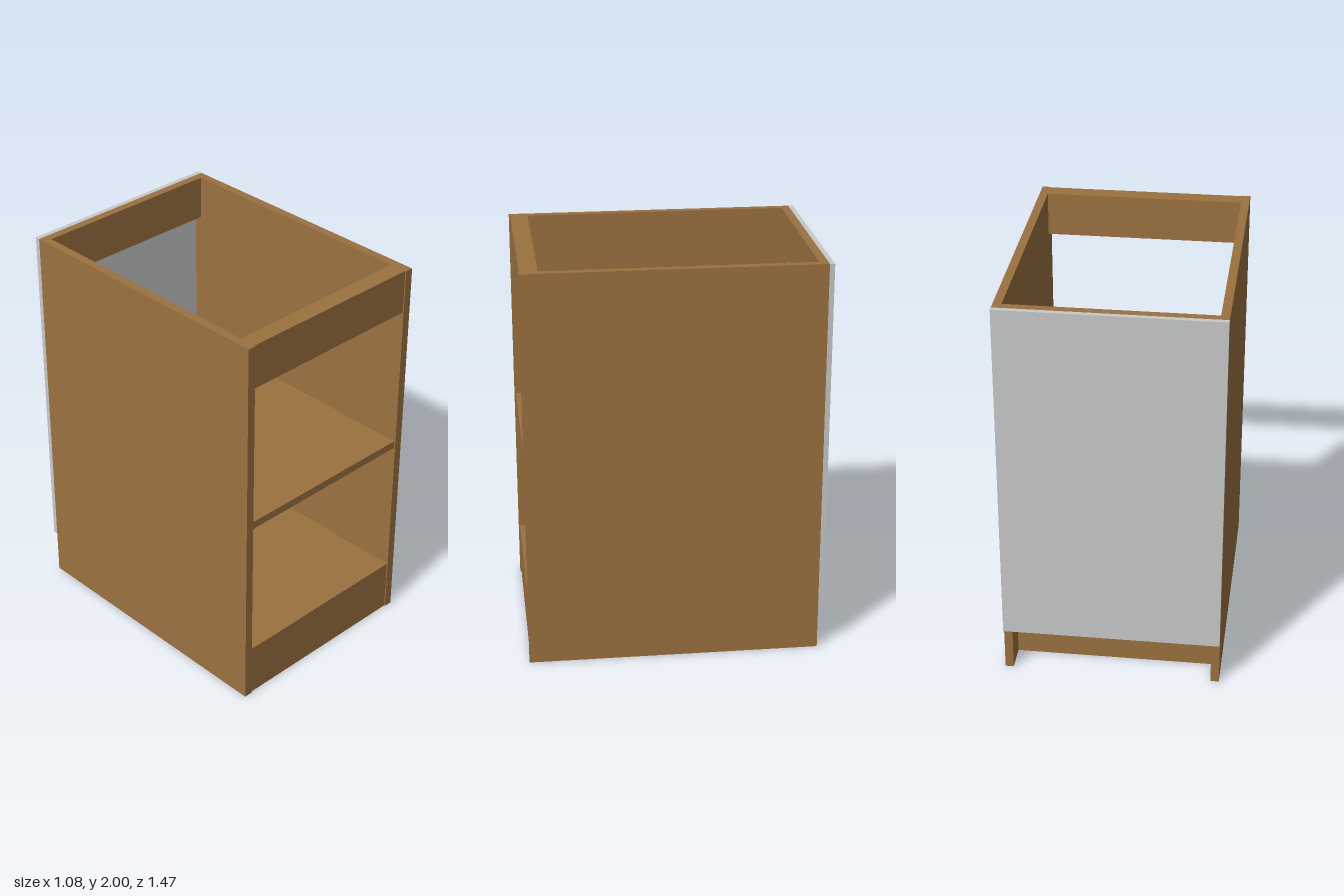
import * as THREE from 'three';

const wood = new THREE.MeshStandardMaterial({ name: 'wood brown', color: 0x9c7240 });
const grey = new THREE.MeshStandardMaterial({ name: 'panel grey', color: 0xc8cac9 });

const HALF = 0.538;    // half the outer width
const BOARD = 0.042;   // board thickness
const INNER = HALF - BOARD;
const FRONT = 0.735, BACK = -0.71;
const FACE = 0.729;    // rails and shelves sit just behind the side edges

export function createModel() {
  const cabinet = new THREE.Group();
  cabinet.name = 'cabinet';

  // A board given by its extents on each axis
  function board(name, [x0, x1], [y0, y1], [z0, z1], material = wood) {
    const mesh = new THREE.Mesh(new THREE.BoxGeometry(x1 - x0, y1 - y0, z1 - z0), material);
    mesh.position.set((x0 + x1) / 2, (y0 + y1) / 2, (z0 + z1) / 2);
    mesh.name = name;
    cabinet.add(mesh);
  }

  // Side panels
  board('leftSide', [INNER, HALF], [0, 2], [BACK, FRONT]);
  board('rightSide', [-HALF, -INNER], [0, 2], [BACK, FRONT]);

  // Floor and middle shelf, with a hairline gap at the sides
  const across = [-INNER, INNER];
  const shelfWidth = [-INNER + 0.002, INNER - 0.002];
  board('floor', shelfWidth, [0.234, 0.276], [BACK, FACE - BOARD]);
  board('middleShelf', shelfWidth, [1.003, 1.043], [BACK, FACE]);

  // Rails around the open top
  board('frontTopRail', across, [1.777, 2], [0.642, FACE]);
  board('backTopRail', across, [1.777, 2], [BACK, BACK + BOARD]);

  // Lower front board and recessed kick board at the back
  board('frontBaseBoard', across, [0, 0.276], [FACE - BOARD, FACE]);
  board('kickBoard', across, [0, 0.234], [-0.572, -0.53]);

  // Closing panel on the back
  board('backPanel', [-HALF, HALF], [0.232, 2], [-0.735, BACK], grey);

  return cabinet;
}
